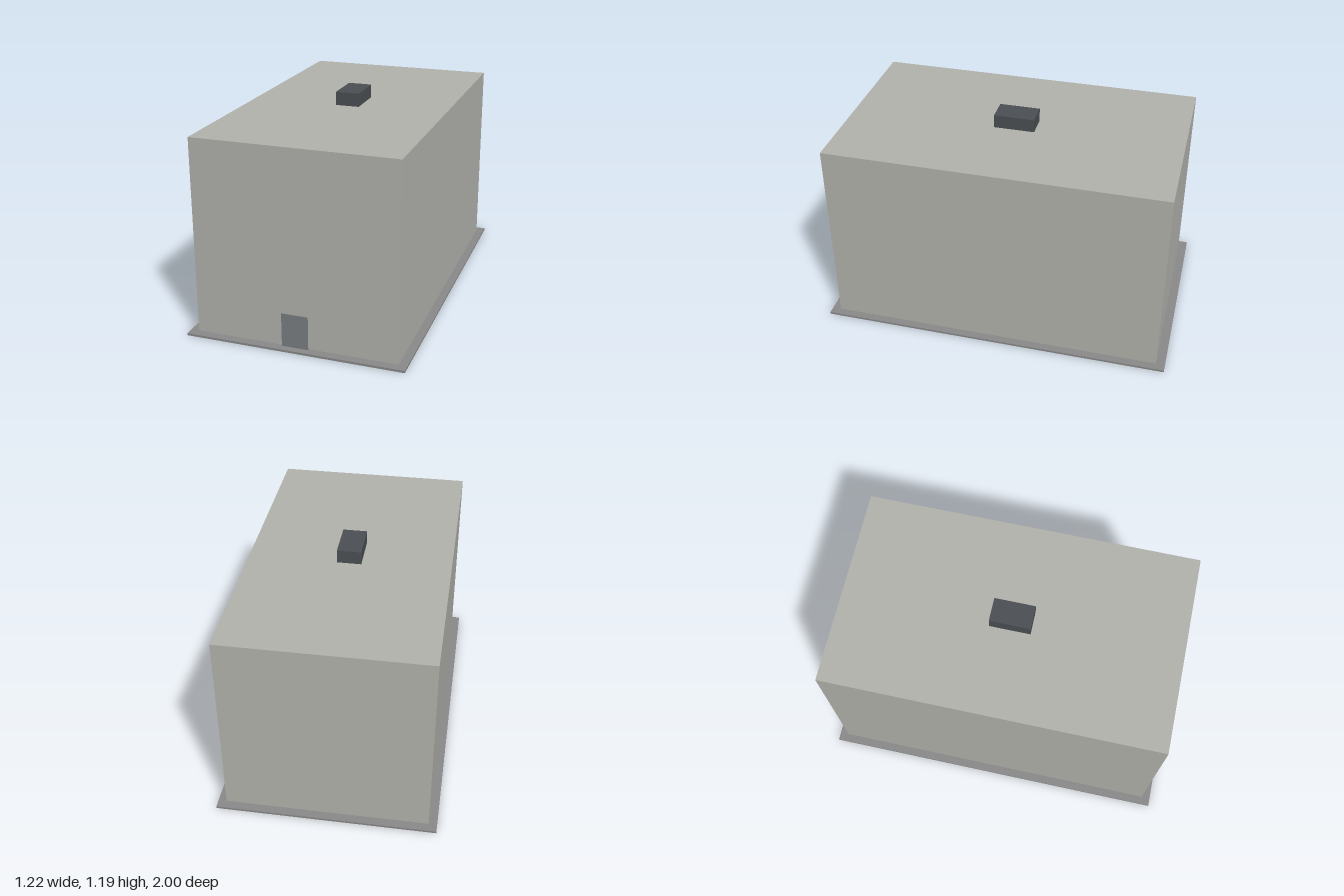
import * as THREE from 'three';

export function createModel() {
  const model = new THREE.Group();

  // Box standing on height y, centred on x and z
  const block = (name, color, w, h, d, y, z = 0) => {
    const mesh = new THREE.Mesh(
      new THREE.BoxGeometry(w, h, d),
      new THREE.MeshStandardMaterial({ color })
    );
    mesh.name = name;
    mesh.position.set(0, y + h / 2, z);
    model.add(mesh);
  };

  const baseH = 0.012, wallH = 1.1;

  // Ground slab and main building volume
  block('baseSlab', 0x8a8a8a, 1.224, baseH, 2, 0);
  block('buildingBody', 0xb4b4ae, 1.132, wallH, 1.9, baseH);

  // Ventilation unit on the flat roof
  block('roofUnit', 0x4c5054, 0.136, 0.076, 0.23, baseH + wallH);

  // Thin door panel just in front of the front wall
  block('door', 0x7b8084, 0.148, 0.19, 0.004, baseH, 0.959);

  return model;
}
